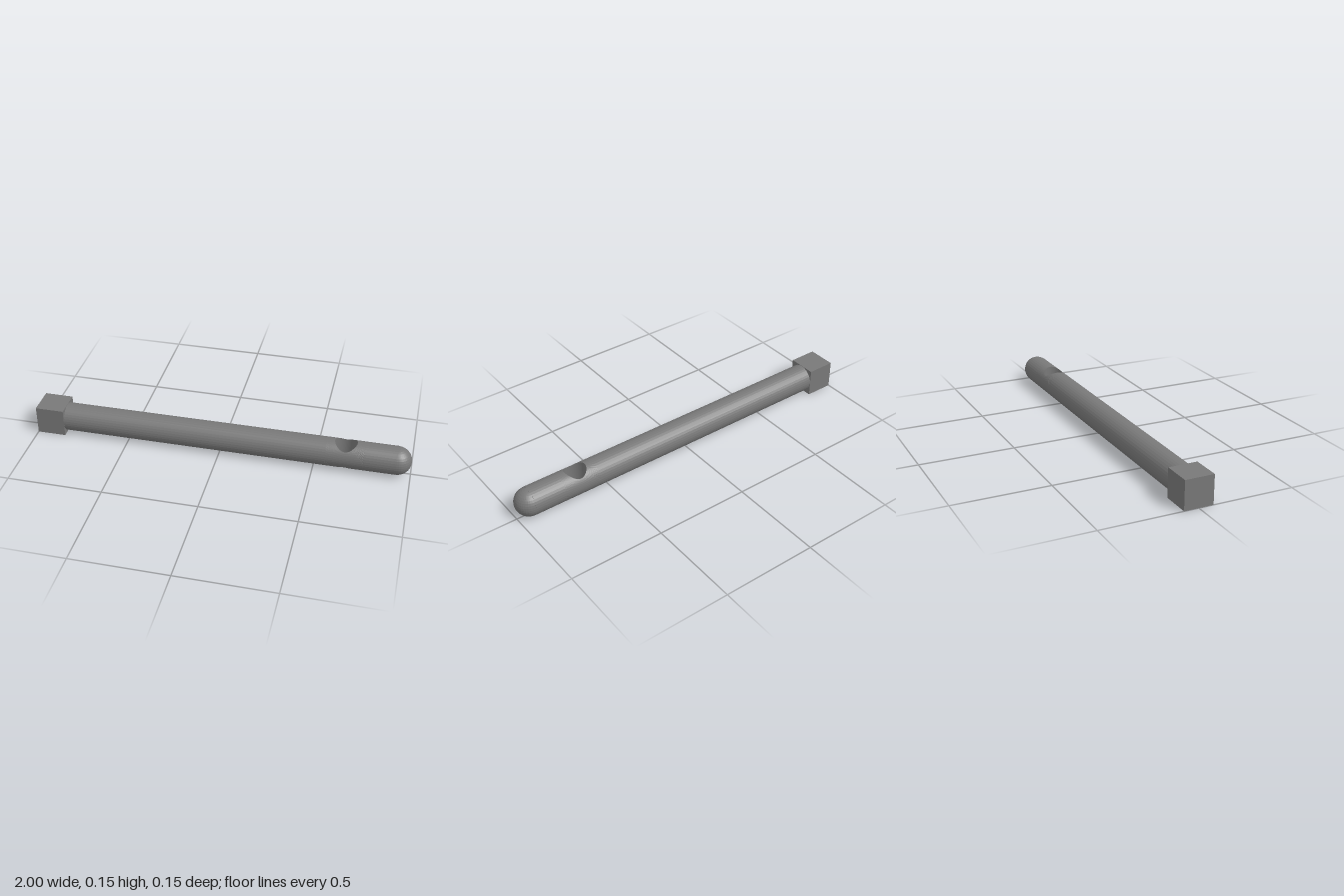
import * as THREE from 'three';

const S = 0.152;          // head cube size
const R = 0.075;          // rod radius
const CY = S / 2;         // axis height
const HOLE_X = 0.66, HOLE_R = 0.058, HALF = 0.1; // drilled section
const END_X = 0.926;      // where the round tip starts
const SIDES = 36;

const material = new THREE.MeshStandardMaterial({ color: 0x787878, flatShading: true });

function addMesh(group, name, geometry, x) {
  const mesh = new THREE.Mesh(geometry, material);
  mesh.name = name;
  mesh.position.set(x, CY, 0);
  group.add(mesh);
}

// Plain length of rod along x
function addRod(group, name, x0, x1) {
  const g = new THREE.CylinderGeometry(R, R, x1 - x0, SIDES, 1, true).rotateZ(Math.PI / 2);
  addMesh(group, name, g, (x0 + x1) / 2);
}

// Rod section with a vertical through hole: a loft from the unrolled
// rectangle's border in to the hole, down the bore and out again below
function drilledSection() {
  const border = [], Q = Math.PI / 2, ends = SIDES / 2, sides = 16, K = 6;
  for (let i = 0; i < ends; i++) border.push([HALF, -Q + (2 * Q * i) / ends]);
  for (let i = 0; i < sides; i++) border.push([HALF - (2 * HALF * i) / sides, Q]);
  for (let i = 0; i < ends; i++) border.push([-HALF, Q - (2 * Q * i) / ends]);
  for (let i = 0; i < sides; i++) border.push([-HALF + (2 * HALF * i) / sides, -Q]);

  const pos = [], index = [], cols = 2 * (K + 1);
  for (const [bx, bp] of border) {
    const t = Math.atan2(R * bp, bx);
    const hx = HOLE_R * Math.cos(t), hp = Math.asin((HOLE_R * Math.sin(t)) / R);
    for (let j = 0; j < cols; j++) {
      const top = j <= K;
      const f = (top ? j : cols - 1 - j) / K;
      const phi = bp + (hp - bp) * f;
      pos.push(bx + (hx - bx) * f, (top ? 1 : -1) * R * Math.cos(phi), R * Math.sin(phi));
    }
  }
  for (let i = 0; i < border.length; i++) {
    const n = (i + 1) % border.length;
    for (let j = 0; j < cols - 1; j++) {
      const a = i * cols + j, c = n * cols + j;
      index.push(a, a + 1, c, a + 1, c + 1, c);
    }
  }
  let g = new THREE.BufferGeometry();
  g.setAttribute('position', new THREE.Float32BufferAttribute(pos, 3));
  g.setIndex(index);
  g = g.toNonIndexed();
  g.computeVertexNormals();
  return g;
}

export function createModel() {
  const group = new THREE.Group();
  group.name = 'pin';

  // Square head
  addMesh(group, 'head', new THREE.BoxGeometry(S, S, S), -1 + S / 2);

  // Rod with its cross hole
  addRod(group, 'shaft', -1 + S, HOLE_X - HALF);
  addMesh(group, 'drilledSection', drilledSection(), HOLE_X);
  addRod(group, 'shaftEnd', HOLE_X + HALF, END_X);
  addMesh(group, 'shaftEndFace', new THREE.CircleGeometry(R, SIDES).rotateY(Math.PI / 2), END_X);

  // Rounded tip
  const tip = new THREE.SphereGeometry(1 - END_X, 18, 18, Math.PI / 2, Math.PI);
  addMesh(group, 'tip', tip, END_X);

  return group;
}
